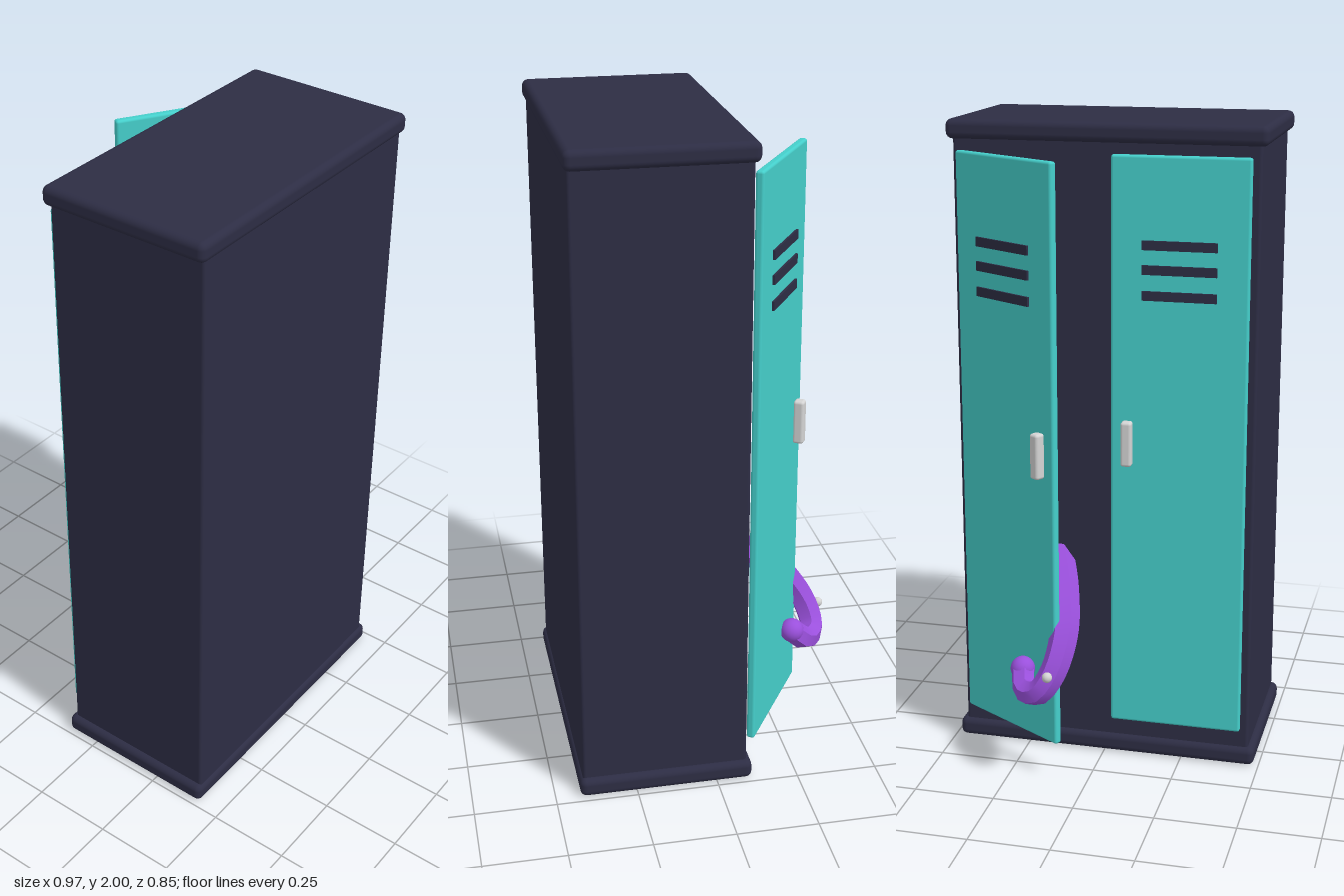
import * as THREE from 'three';
import { toCreasedNormals } from 'three/addons/utils/BufferGeometryUtils.js';
import { RoundedBoxGeometry } from 'three/addons/geometries/RoundedBoxGeometry.js';

function makeMaterial(name, color) {
  const m = new THREE.MeshStandardMaterial({ color });
  m.name = name;
  return m;
}

function add(parent, name, geometry, material, x = 0, y = 0, z = 0) {
  const mesh = new THREE.Mesh(geometry, material);
  mesh.name = name;
  mesh.position.set(x, y, z);
  parent.add(mesh);
  return mesh;
}

const rounded = (w, h, d, r) => new RoundedBoxGeometry(w, h, d, 3, r);

// Tube along a curve whose radius shrinks evenly towards its end
function taperedTube(curve, steps, sides, r0, r1) {
  const geo = new THREE.TubeGeometry(curve, steps, 1, sides, false);
  const pos = geo.attributes.position;
  const v = new THREE.Vector3();
  for (let i = 0; i < pos.count; i++) {
    const t = Math.floor(i / (sides + 1)) / steps;
    const c = curve.getPointAt(t);
    v.fromBufferAttribute(pos, i).sub(c).multiplyScalar(r0 + (r1 - r0) * t).add(c);
    pos.setXYZ(i, v.x, v.y, v.z);
  }
  return toCreasedNormals(geo, 0.7);
}

export function createModel() {
  const root = new THREE.Group();
  root.name = 'locker';
  const navy = makeMaterial('dark navy', 0x2d2d44);
  const teal = makeMaterial('teal', 0x45cfcb);
  const purple = makeMaterial('purple', 0x9a50dc);
  const silver = makeMaterial('light grey', 0xd4d4d4);

  // Cabinet with a rounded slab above and below
  add(root, 'cabinet', rounded(0.93, 1.93, 0.51, 0.01), navy, 0, 1, 0.16);
  for (const [name, y] of [['base', 0.031], ['top', 1.97]]) {
    add(root, name, rounded(0.97, 0.059, 0.535, 0.02), navy, 0, y, 0.157);
  }

  // Door hinged at its own origin; side is +1 or -1, the outer face is towards -z
  function addDoor(name, side, x, z, angle) {
    const door = new THREE.Group();
    door.name = name;
    door.position.set(x, 0, z);
    door.rotation.y = -side * angle;
    root.add(door);
    const w = 0.415, depth = 0.025;
    add(door, 'doorPanel', rounded(w, 1.79, depth, 0.008), teal, -side * w / 2, 1.015, -depth / 2);
    for (const y of [1.5, 1.577, 1.65]) {
      add(door, 'ventSlot', new THREE.BoxGeometry(0.225, 0.028, 0.008), navy,
        -side * w / 2, y, -depth - 0.003);
    }
    add(door, 'handle', rounded(0.034, 0.14, 0.034, 0.009), silver,
      -side * (w - 0.053), 1.045, -depth - 0.014);
  }
  addDoor('closedDoor', -1, -0.44, -0.095, 0);
  addDoor('openDoor', 1, 0.437, -0.1, 0.55);

  // Tentacle curling out of the cabinet and around the open door
  const path = new THREE.CatmullRomCurve3([
    [0.165, 0.66, -0.06], [0.105, 0.58, -0.2], [0.075, 0.48, -0.31],
    [0.095, 0.375, -0.375], [0.14, 0.312, -0.385], [0.19, 0.305, -0.35],
    [0.21, 0.35, -0.3],
  ].map((p) => new THREE.Vector3(...p)));
  const tentacle = new THREE.Group();
  tentacle.name = 'tentacle';
  root.add(tentacle);
  add(tentacle, 'arm', taperedTube(path, 24, 6, 0.052, 0.036), purple);
  add(tentacle, 'tip', new THREE.SphereGeometry(0.038, 20, 14), purple, 0.21, 0.35, -0.3);
  add(tentacle, 'sucker', new THREE.SphereGeometry(0.016, 12, 8), silver, 0.1, 0.38, -0.414);

  return root;
}
